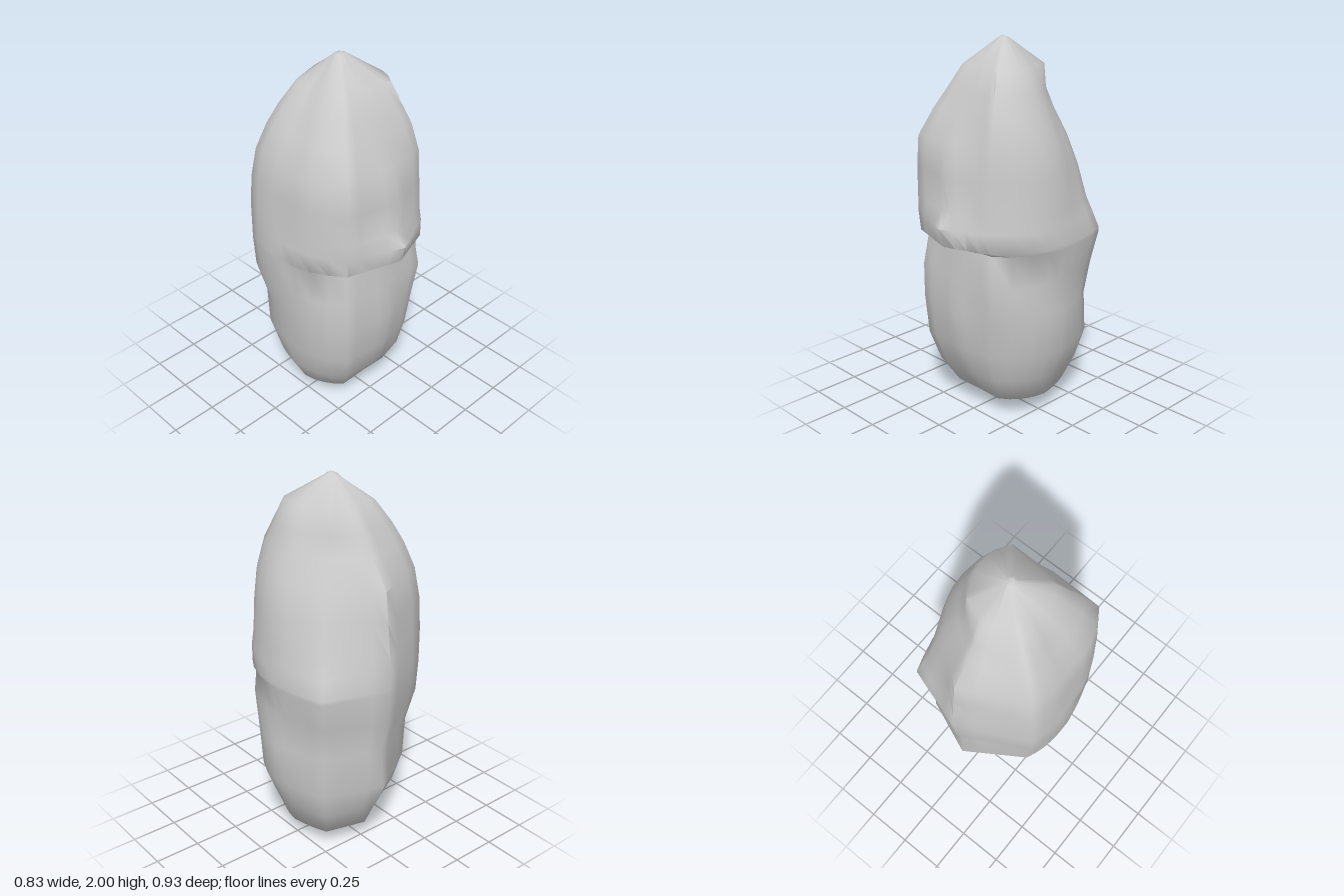
import * as THREE from 'three';
import { toCreasedNormals } from 'three/addons/utils/BufferGeometryUtils.js';

// Cross-sections from base to tip: height, then the reach of eight corners:
// front, front-right (+x), right, back-right, back, back-left, left, front-left
const SECTIONS = [
  [0.01, .05, .05, .02, .03, .03, .06, .11, .08],
  [0.10, .20, .25, .28, .31, .28, .25, .27, .26],
  [0.24, .30, .33, .33, .38, .35, .34, .34, .36],
  [0.40, .35, .37, .40, .43, .43, .39, .37, .42],
  [0.62, .38, .40, .40, .42, .41, .40, .39, .44],
  [0.80, .36, .43, .38, .45, .45, .45, .41, .44],
  [0.97, .35, .40, .41, .49, .46, .46, .42, .41],
  [0.99, .44, .43, .41, .49, .46, .46, .42, .45],
  [1.09, .47, .43, .40, .45, .46, .46, .41, .46],
  [1.16, .40, .42, .39, .42, .45, .46, .40, .46],
  [1.34, .42, .41, .38, .37, .43, .45, .39, .46],
  [1.50, .36, .40, .34, .31, .41, .42, .37, .45],
  [1.64, .29, .36, .28, .24, .31, .36, .29, .37],
  [1.74, .25, .31, .24, .20, .25, .30, .24, .30],
  [1.86, .18, .25, .19, .19, .18, .21, .16, .22],
  [1.99, .04, .03, .01, .01, .01, .02, .03, .04],
];
// Corner bearings in degrees, and how round each side after a corner is (0 = flat)
const BEARINGS = [0, 35, 92, 135, 180, 234, 270, 321, 360];
const ROUNDNESS = [0, 1, 0.4, 0, 0, 0.7, 0.9, 0];
const STEPS = 4;
const SIDES = 8 * STEPS;

const polar = (degrees, r) =>
  new THREE.Vector2(Math.sin(THREE.MathUtils.degToRad(degrees)), Math.cos(THREE.MathUtils.degToRad(degrees))).multiplyScalar(r);

// Point on a side: a blend of the straight chord and the arc between its corners
function sidePoint(reach, side, t) {
  const r0 = reach[side], r1 = reach[(side + 1) % 8];
  const d0 = BEARINGS[side], d1 = BEARINGS[side + 1];
  const chord = polar(d0, r0).lerp(polar(d1, r1), t);
  const arc = polar(THREE.MathUtils.lerp(d0, d1, t), THREE.MathUtils.lerp(r0, r1, t));
  return chord.lerp(arc, ROUNDNESS[side]);
}

function rockGeometry() {
  const positions = [], index = [];
  for (const [y, ...reach] of SECTIONS) {
    for (let j = 0; j < SIDES; j++) {
      const p = sidePoint(reach, Math.floor(j / STEPS), (j % STEPS) / STEPS);
      positions.push(p.x, y, p.y);
    }
  }

  // Skin between neighbouring sections
  for (let i = 0; i < SECTIONS.length - 1; i++) {
    for (let j = 0; j < SIDES; j++) {
      const k = (j + 1) % SIDES;
      const a = i * SIDES + j, b = i * SIDES + k;
      index.push(a, b, a + SIDES, b, b + SIDES, a + SIDES);
    }
  }

  // Closing points at base and tip
  const base = SECTIONS.length * SIDES, tip = base + 1, last = base - SIDES;
  positions.push(-0.03, 0, 0.01, -0.01, 2, 0.02);
  for (let j = 0; j < SIDES; j++) {
    const k = (j + 1) % SIDES;
    index.push(base, k, j, tip, last + j, last + k);
  }

  const geometry = new THREE.BufferGeometry();
  geometry.setAttribute('position', new THREE.Float32BufferAttribute(positions, 3));
  geometry.setIndex(index);
  return toCreasedNormals(geometry, 1);
}

export function createModel() {
  const group = new THREE.Group();
  group.name = 'standingRock';
  const rock = new THREE.Mesh(rockGeometry(), new THREE.MeshStandardMaterial({ color: 0xcccccc }));
  rock.name = 'rock';
  group.add(rock);
  return group;
}
